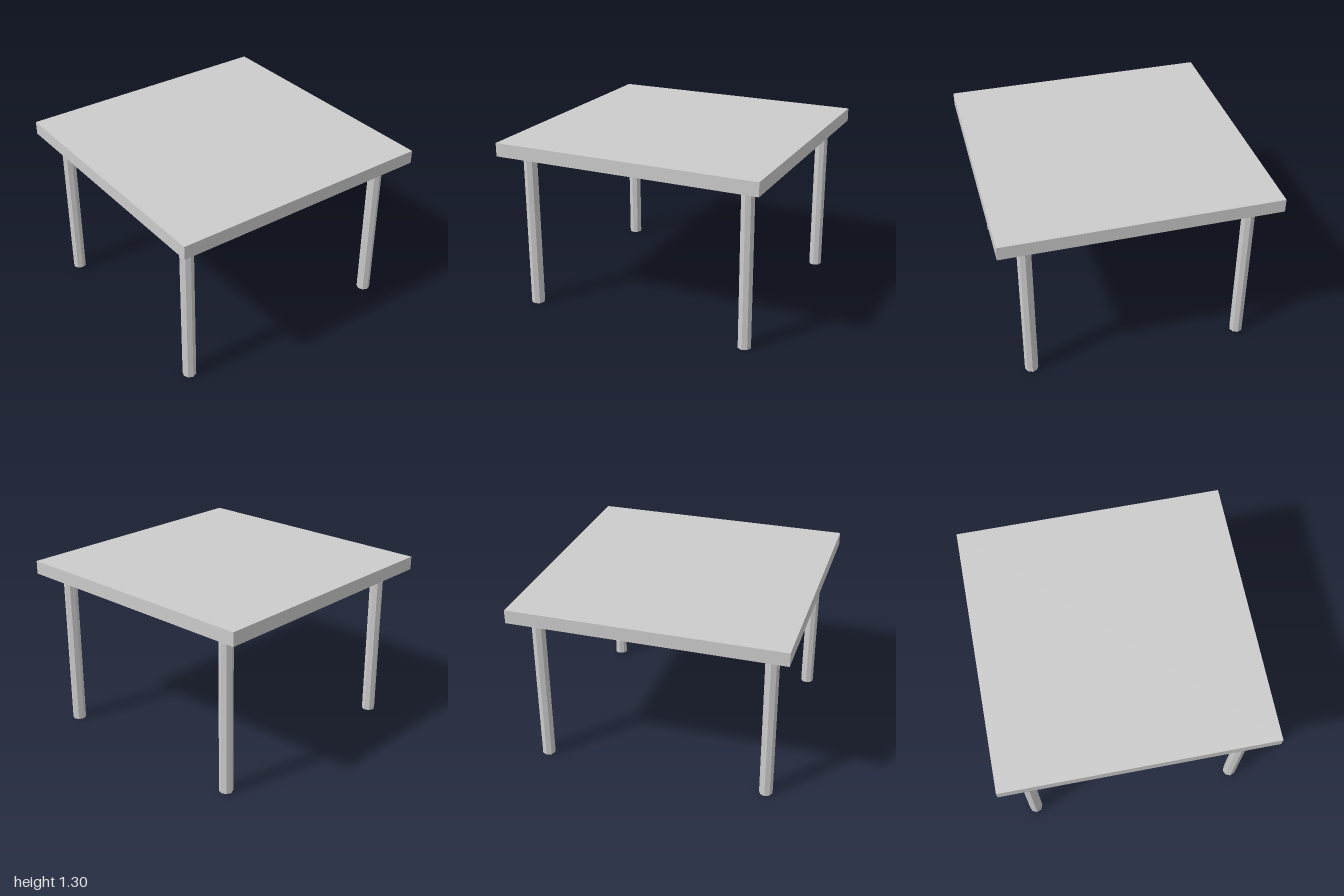
import * as THREE from 'three';

export function createModel() {
  const model = new THREE.Group();
  model.name = 'table';
  const material = new THREE.MeshStandardMaterial({ color: 0xcccccc, flatShading: true });

  const legHeight = 1.2;
  const topThickness = 0.1;

  // Square slab top
  const top = new THREE.Mesh(new THREE.BoxGeometry(2, topThickness, 2), material);
  top.name = 'tableTop';
  top.position.y = legHeight + topThickness / 2;
  model.add(top);

  // Four octagonal legs, set in a little further along z than along x
  const legGeometry = new THREE.CylinderGeometry(0.05, 0.05, legHeight, 8);
  for (const [zName, z] of [['front', 0.8], ['back', -0.8]]) {
    for (const [xName, x] of [['Left', 0.85], ['Right', -0.85]]) {
      const leg = new THREE.Mesh(legGeometry, material);
      leg.name = `${zName}${xName}Leg`;
      leg.position.set(x, legHeight / 2, z);
      model.add(leg);
    }
  }

  return model;
}
